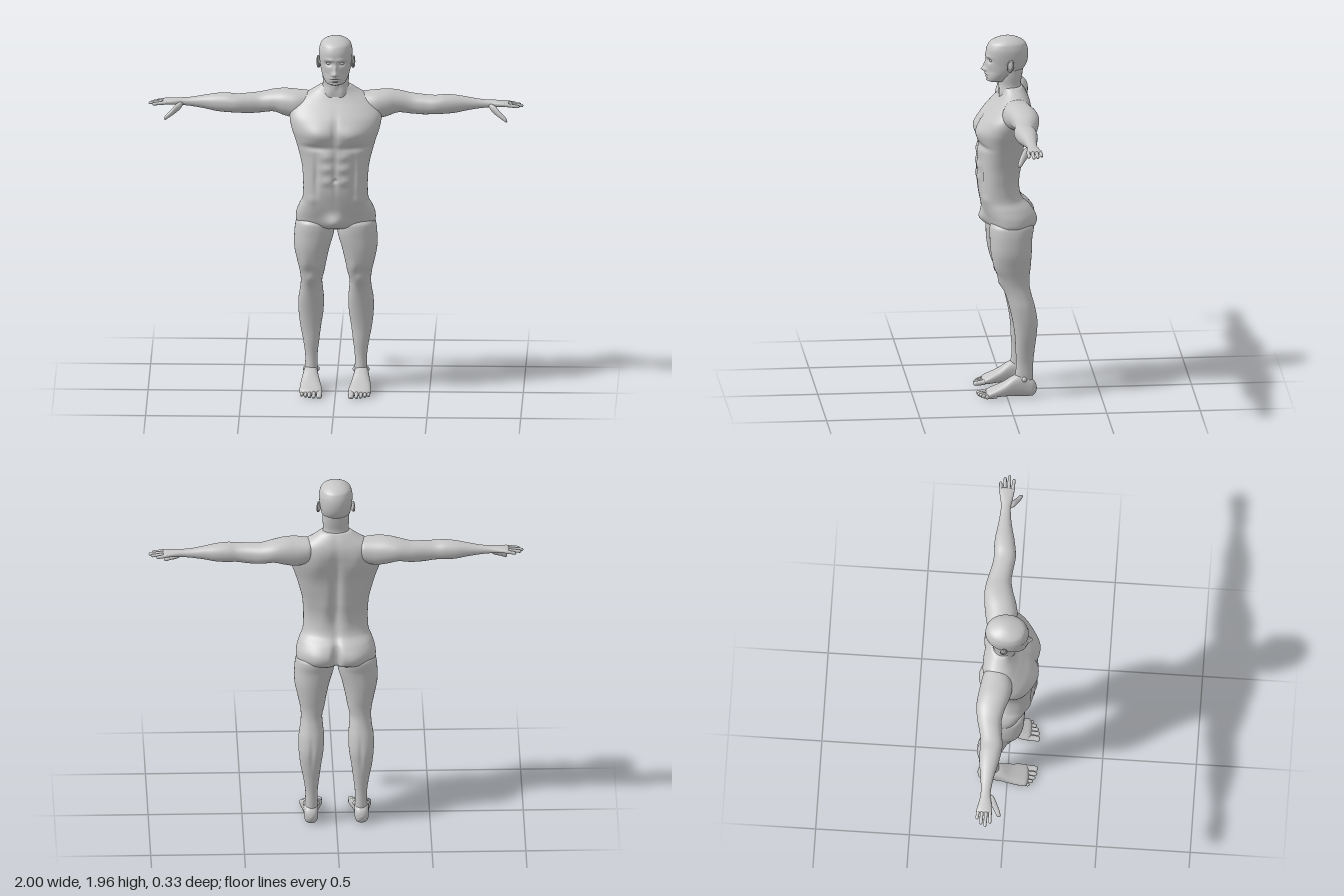
import * as THREE from 'three';

const skin = new THREE.MeshStandardMaterial({ color: 0xc6c6c6 });
skin.name = 'plain grey';

// Smooth interpolation of the station rows [t, a0, a1, b0, b1]
function sample(rows, t) {
  let i = 0;
  while (i < rows.length - 2 && t > rows[i + 1][0]) i++;
  const p = rows[i], q = rows[i + 1], h = q[0] - p[0], s = (t - p[0]) / h;
  const slope = (k, c) => {
    const l = rows[Math.max(k - 1, 0)], r = rows[Math.min(k + 1, rows.length - 1)];
    return (r[c] - l[c]) / (r[0] - l[0]);
  };
  return [1, 2, 3, 4].map(c =>
    p[c] * (1 + 2 * s) * (1 - s) ** 2 + q[c] * s * s * (3 - 2 * s) +
    h * (slope(i, c) * s * (1 - s) ** 2 + slope(i + 1, c) * s * s * (s - 1)));
}

// Closed skin along an axis through stations of extents, with rounded ends.
// Extents: y axis -> x, z; x axis -> z, y; z axis -> y, x.
// Bumps [x, y, side, rx, ry, amount] push the front (1) or back (-1) in z.
function loft(axis, rows, { segs = 16, rings = 16, cap0 = 0.01, cap1 = 0.01, power = 2.2, bumps = [] } = {}) {
  const pos = [], idx = [], t0 = rows[0][0], t1 = rows[rows.length - 1][0];
  const place = (t, a, b) => axis === 'y' ? [a, t, b] : axis === 'x' ? [t, b, a] : [b, a, t];
  const round = d => d >= 1 ? 1 : Math.sqrt(Math.max(0, 1 - (1 - d) ** 2));
  const bend = v => Math.sign(v) * Math.abs(v) ** (2 / power);
  for (let i = 0; i <= rings; i++) {
    const f = i / rings, u = 0.5 * f + 0.25 * (1 - Math.cos(Math.PI * f));
    const t = t0 + (t1 - t0) * u;
    const [a0, a1, b0, b1] = sample(rows, t);
    const k = Math.max(0.002, round((t - t0) / cap0) * round((t1 - t) / cap1));
    for (let j = 0; j < segs; j++) {
      const g = j / segs * Math.PI * 2, sn = Math.sin(g);
      const p = place(t, (a0 + a1) / 2 + k * bend(Math.cos(g)) * (a1 - a0) / 2,
        (b0 + b1) / 2 + k * bend(sn) * (b1 - b0) / 2);
      let push = 0;
      for (const [x, y, side, rx, ry, amount] of bumps) {
        if (sn * side <= 0) continue;
        const dx = (Math.abs(p[0]) - x) / rx, dy = (p[1] - y) / ry;
        push += side * amount * Math.exp(-dx * dx - dy * dy) * Math.min(1, Math.abs(sn) * 2);
      }
      p[2] += push * k;
      pos.push(...p);
    }
  }
  for (let i = 0; i < rings; i++) for (let j = 0; j < segs; j++) {
    const n = (j + 1) % segs, a = i * segs + j, b = i * segs + n;
    idx.push(a, a + segs, b, b, a + segs, b + segs);
  }
  const geo = new THREE.BufferGeometry();
  geo.setAttribute('position', new THREE.Float32BufferAttribute(pos, 3));
  geo.setIndex(idx);
  geo.computeVertexNormals();
  return geo;
}

function mirrored(geo) {
  const m = geo.clone().scale(-1, 1, 1), ix = m.index.array;
  for (let i = 0; i < ix.length; i += 3) [ix[i], ix[i + 1]] = [ix[i + 1], ix[i]];
  m.computeVertexNormals();
  return m;
}

export function createModel() {
  const group = new THREE.Group();
  const add = (name, geo) => {
    const mesh = new THREE.Mesh(geo, skin);
    mesh.name = name;
    group.add(mesh);
  };
  const pair = (name, geo) => {
    add('left' + name, geo);
    add('right' + name, mirrored(geo));
  };

  // Torso: pelvis, waist, ribcage and sloping shoulders
  const torso = [
    [0.90, 0.17, -0.12, 0.06], [0.94, 0.208, -0.145, 0.085], [0.99, 0.211, -0.15, 0.105],
    [1.04, 0.195, -0.128, 0.125], [1.08, 0.177, -0.09, 0.135], [1.14, 0.172, -0.07, 0.145],
    [1.20, 0.173, -0.068, 0.147], [1.27, 0.179, -0.083, 0.148], [1.34, 0.195, -0.096, 0.145],
    [1.41, 0.215, -0.106, 0.147], [1.47, 0.235, -0.116, 0.146], [1.53, 0.245, -0.126, 0.122],
    [1.58, 0.235, -0.133, 0.08], [1.62, 0.2, -0.13, 0.045], [1.66, 0.13, -0.115, 0.02],
    [1.70, 0.07, -0.09, 0.01],
  ].map(([y, w, b, f]) => [y, -w, w, b, f]);
  const torsoBumps = [
    [0.09, 1.46, 1, 0.075, 0.05, 0.02],    // chest
    [0, 1.47, 1, 0.014, 0.07, -0.012],
    [0.1, 1.385, 1, 0.08, 0.018, -0.012],
    [0, 1.25, 1, 0.009, 0.12, -0.008],     // midline and navel
    [0, 1.205, 1, 0.01, 0.01, -0.012],
    [0.1, 1.22, 1, 0.014, 0.1, -0.009],
    [0.13, 1.09, 1, 0.04, 0.03, 0.008],
    [0, 0.965, 1, 0.05, 0.045, 0.042],     // front of shorts
    [0.1, 0.97, -1, 0.075, 0.07, 0.022],   // buttocks
    [0, 0.97, -1, 0.018, 0.075, -0.04],
    [0, 1.35, -1, 0.022, 0.2, -0.022],     // spine and shoulder blades
    [0.11, 1.52, -1, 0.06, 0.08, 0.014],
    [0.06, 1.2, -1, 0.04, 0.1, 0.01],
  ];
  for (const y of [1.2, 1.27, 1.335]) torsoBumps.push([0.045, y, 1, 0.034, 0.024, 0.008]);
  add('torso', loft('y', torso, { segs: 120, rings: 150, cap0: 0.04, cap1: 0.01, power: 2.3, bumps: torsoBumps }));

  // Neck
  add('neck', loft('y', [
    [1.60, -0.1, 0.1, -0.11, 0.03], [1.66, -0.082, 0.082, -0.098, 0.03],
    [1.70, -0.069, 0.069, -0.086, 0.026], [1.75, -0.071, 0.071, -0.093, 0.034],
    [1.80, -0.07, 0.07, -0.1, 0.04],
  ], { segs: 40, rings: 24, bumps: [[0, 1.70, 1, 0.012, 0.02, 0.008], [0.035, 1.66, 1, 0.016, 0.05, 0.006]] }));

  // Head with brow, nose, lips and chin
  const head = [
    [1.712, 0.036, 0.0, 0.088], [1.73, 0.053, -0.025, 0.096], [1.76, 0.069, -0.065, 0.1],
    [1.79, 0.078, -0.1, 0.1], [1.82, 0.083, -0.118, 0.099], [1.86, 0.088, -0.126, 0.101],
    [1.90, 0.088, -0.123, 0.097], [1.935, 0.078, -0.108, 0.08], [1.966, 0.066, -0.085, 0.05],
  ].map(([y, w, b, f]) => [y, -w, w, b, f]);
  add('head', loft('y', head, {
    segs: 128, rings: 120, cap0: 0.018, cap1: 0.04, power: 2.15, bumps: [
      [0, 1.787, 1, 0.012, 0.013, 0.022], [0, 1.81, 1, 0.01, 0.024, 0.013],
      [0.013, 1.782, 1, 0.008, 0.008, 0.008],
      [0.035, 1.84, 1, 0.019, 0.013, -0.016], [0.03, 1.862, 1, 0.028, 0.009, 0.005],
      [0, 1.762, 1, 0.022, 0.006, 0.007], [0, 1.754, 1, 0.024, 0.003, -0.006],
      [0, 1.746, 1, 0.018, 0.006, 0.006], [0, 1.737, 1, 0.02, 0.006, -0.006],
      [0, 1.722, 1, 0.02, 0.009, 0.006], [0.05, 1.78, 1, 0.018, 0.025, -0.006],
    ],
  }));
  pair('Eye', new THREE.SphereGeometry(0.011, 20, 14).scale(1.25, 0.75, 0.8).translate(0.034, 1.84, 0.076));
  pair('Ear', new THREE.SphereGeometry(1, 20, 16).scale(0.007, 0.031, 0.018)
    .rotateX(-0.2).rotateY(-0.35).translate(0.09, 1.822, -0.022));
  pair('EarRim', new THREE.TorusGeometry(0.022, 0.004, 8, 28).scale(0.75, 1.3, 1)
    .rotateY(Math.PI / 2 - 0.35).rotateX(-0.2).translate(0.094, 1.823, -0.023));

  // Arm from shoulder to palm
  pair('Arm', loft('x', [
    [0.10, -0.12, 0.0, 1.54, 1.645], [0.20, -0.14, 0.03, 1.505, 1.655], [0.27, -0.15, 0.02, 1.515, 1.658],
    [0.33, -0.153, 0.0, 1.533, 1.65], [0.40, -0.143, -0.014, 1.526, 1.635], [0.47, -0.126, -0.008, 1.524, 1.63],
    [0.53, -0.117, 0.0, 1.529, 1.628], [0.58, -0.119, -0.004, 1.53, 1.632], [0.64, -0.117, -0.015, 1.535, 1.628],
    [0.70, -0.108, -0.03, 1.547, 1.618], [0.77, -0.1, -0.042, 1.558, 1.606], [0.82, -0.098, -0.045, 1.563, 1.602],
    [0.86, -0.104, -0.038, 1.566, 1.6], [0.90, -0.112, -0.033, 1.568, 1.597], [0.925, -0.112, -0.033, 1.57, 1.594],
  ], { segs: 40, rings: 90, cap0: 0.05, cap1: 0.012 }));

  // Fingers [z at root, z at tip, tip x] and thumb
  const fingers = [[-0.042, -0.038, 0.98], [-0.063, -0.063, 1.0], [-0.084, -0.086, 0.988], [-0.103, -0.109, 0.96]];
  fingers.forEach(([z0, z1, tip], i) => pair('Finger' + (i + 1), loft('x', [0, 0.5, 1].map(s => {
    const z = z0 + (z1 - z0) * s, r = 0.0105 - 0.0025 * s, y = 1.583 - 0.009 * s;
    return [0.895 + (tip - 0.895) * s, z - r, z + r, y - r, y + r];
  }), { segs: 14, rings: 14 })));
  pair('Thumb', loft('x', [
    [0.815, -0.07, -0.03, 1.56, 1.592], [0.85, -0.05, -0.012, 1.532, 1.578],
    [0.88, -0.026, 0.005, 1.515, 1.548], [0.915, -0.004, 0.018, 1.495, 1.518],
  ], { segs: 16, rings: 20, cap0: 0.02, cap1: 0.012 }));

  // Leg from hip to ankle
  pair('Leg', loft('y', [
    [0.04, 0.1, 0.167, -0.14, -0.035], [0.11, 0.099, 0.166, -0.139, -0.043], [0.18, 0.099, 0.165, -0.14, -0.05],
    [0.26, 0.09, 0.176, -0.148, -0.046], [0.34, 0.08, 0.191, -0.158, -0.042], [0.42, 0.068, 0.2, -0.163, -0.03],
    [0.50, 0.065, 0.2, -0.15, -0.012], [0.56, 0.07, 0.191, -0.133, 0.005], [0.61, 0.073, 0.187, -0.122, 0.024],
    [0.66, 0.061, 0.192, -0.121, 0.042], [0.72, 0.05, 0.205, -0.127, 0.068], [0.80, 0.032, 0.221, -0.133, 0.085],
    [0.88, 0.01, 0.221, -0.137, 0.09], [0.93, 0.01, 0.215, -0.145, 0.09], [0.99, 0.03, 0.2, -0.14, 0.08],
  ], {
    segs: 56, rings: 100, cap0: 0.02, cap1: 0.05, bumps: [
      [0.13, 0.635, 1, 0.03, 0.03, 0.012], [0.09, 0.69, 1, 0.025, 0.04, 0.008],
      [0.17, 0.71, 1, 0.025, 0.05, 0.006], [0.13, 0.42, -1, 0.01, 0.07, -0.006],
    ],
  }));
  for (const [name, x] of [['InnerAnkle', 0.103], ['OuterAnkle', 0.163]])
    pair(name, new THREE.SphereGeometry(0.015, 16, 12).translate(x, 0.1, -0.09));

  // Foot and toes
  pair('Foot', loft('z', [
    [-0.16, 0.008, 0.085, 0.1, 0.168], [-0.13, 0.004, 0.1, 0.097, 0.172], [-0.09, 0.004, 0.125, 0.096, 0.174],
    [-0.04, 0.006, 0.118, 0.092, 0.178], [0.02, 0.006, 0.08, 0.08, 0.187], [0.07, 0.003, 0.055, 0.07, 0.191],
    [0.115, 0.002, 0.034, 0.07, 0.19],
  ], { segs: 36, rings: 40, cap0: 0.03, cap1: 0.02, power: 2.5 }));
  for (let i = 0; i < 5; i++) {
    const x = [0.085, 0.114, 0.137, 0.158, 0.178][i], r = i ? 0.0115 - i * 0.0005 : 0.0165;
    const tip = [0.16, 0.158, 0.15, 0.138, 0.122][i];
    pair('Toe' + (i + 1), loft('z', [
      [tip - 0.07, 0.004, 0.036, x - r, x + r], [tip - 0.025, 0.002, 0.026, x - r * 0.9, x + r * 0.9],
      [tip, 0, 0.024, x - r, x + r],
    ], { segs: 16, rings: 16, cap1: 0.014 }));
  }
  return group;
}
